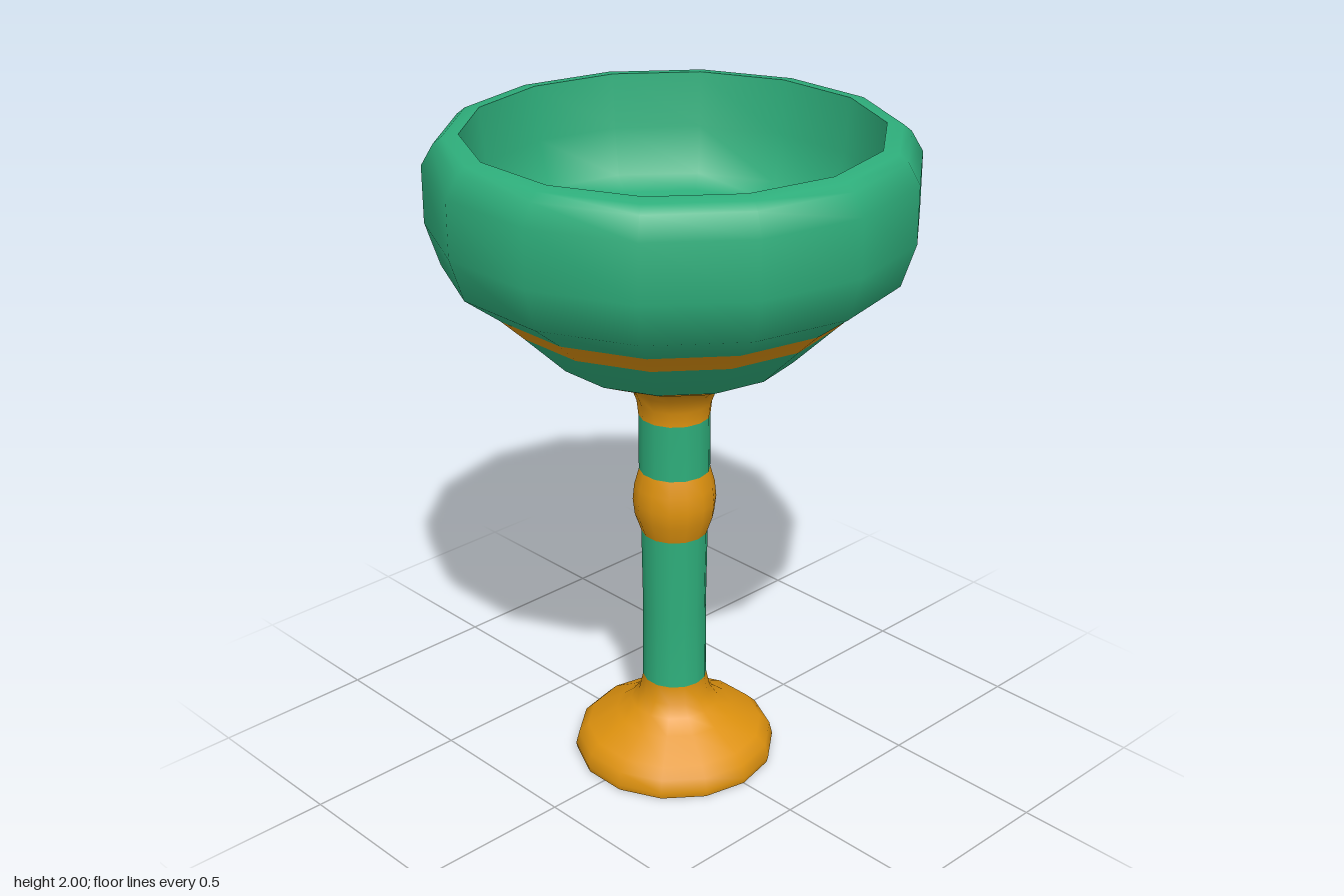
import * as THREE from 'three';

const SIDES = 14;

export function createModel() {
  const green = new THREE.MeshStandardMaterial({ color: 0x2eae7b });
  green.name = 'green glaze';
  const gold = new THREE.MeshStandardMaterial({ color: 0xde920f });
  gold.name = 'gold';

  // One continuous profile of [radius, height], cut into coloured bands.
  // Each band carries on from the last point of the band before it;
  // a repeated point makes a sharp edge.
  const bands = [
    ['foot', gold, [[0, 0], [0.305, 0], [0.305, 0], [0.31, 0.02], [0.3, 0.06], [0.27, 0.09],
      [0.18, 0.14], [0.135, 0.175], [0.11, 0.21], [0.098, 0.265]]],
    ['lowerStem', green, [[0.096, 0.5], [0.1, 0.765]]],
    ['knob', gold, [[0.1, 0.765], [0.119, 0.82], [0.125, 0.87], [0.12, 0.92], [0.106, 0.97]]],
    ['upperStem', green, [[0.106, 0.97], [0.106, 1.145]]],
    ['bowlBase', gold, [[0.111, 1.19], [0.127, 1.232], [0.165, 1.27], [0.26, 1.31], [0.355, 1.355]]],
    ['lowerBowl', green, [[0.482, 1.48]]],
    ['bowlStripe', gold, [[0.55, 1.545]]],
    ['upperBowl', green, [[0.655, 1.625], [0.695, 1.75], [0.695, 1.915], [0.66, 1.975], [0.635, 1.995],
      [0.59, 2]]],
    ['bowlInside', green, [[0.59, 2], [0.575, 1.84], [0.54, 1.7], [0.48, 1.665], [0.25, 1.635], [0, 1.63]]],
  ];

  const profile = bands.flatMap(([, , pts]) => pts.map(([r, y]) => new THREE.Vector2(r, y)));
  const lathe = new THREE.LatheGeometry(profile, SIDES);
  const rows = profile.length;

  const goblet = new THREE.Group();
  goblet.name = 'goblet';
  let start = 0;
  for (const [name, material, pts] of bands) {
    const end = start + pts.length;
    const index = [];
    for (let i = 0; i < SIDES; i++) {
      for (let j = Math.max(start - 1, 0); j < end - 1; j++) {
        if (profile[j].equals(profile[j + 1])) continue; // sharp edge, no face
        const a = i * rows + j, b = a + rows;
        if (profile[j].x > 0) index.push(a, b, a + 1);
        if (profile[j + 1].x > 0) index.push(b + 1, a + 1, b);
      }
    }
    const geometry = lathe.clone();
    geometry.setIndex(index);
    const mesh = new THREE.Mesh(geometry, material);
    mesh.name = name;
    goblet.add(mesh);
    start = end;
  }
  return goblet;
}
